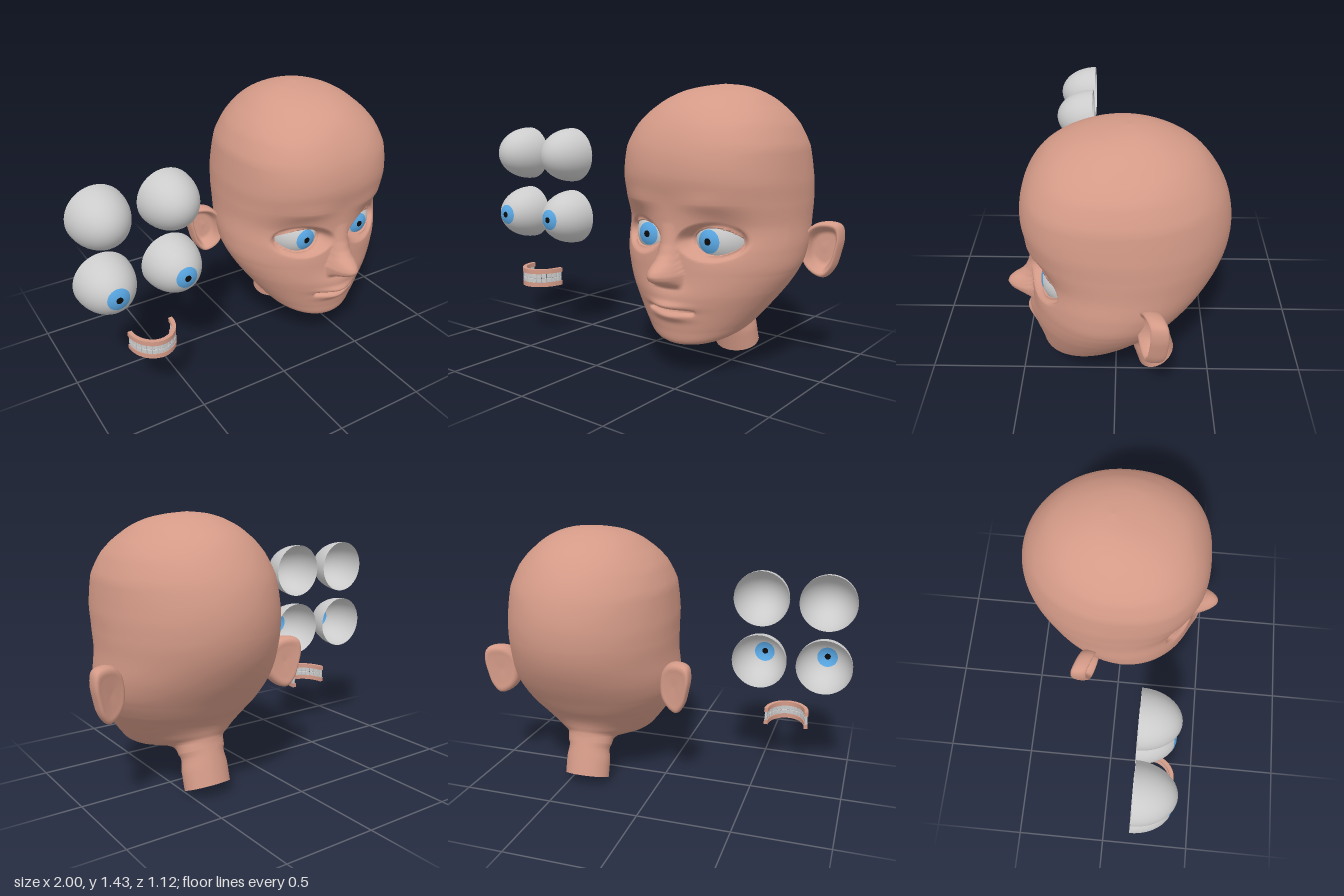
import * as THREE from 'three';
import { RoundedBoxGeometry } from 'three/addons/geometries/RoundedBoxGeometry.js';

const { smoothstep, lerp } = THREE.MathUtils;
const HEAD_X = 0.4;
const EYE = { x: 0.18, y: 0.7, z: 0.15, r: 0.152, depth: 0.21 };

const paint = (color, side = THREE.FrontSide) => new THREE.MeshStandardMaterial({ color, side });
const skin = paint(0xd49a87, THREE.DoubleSide);
const white = paint(0xcccccc, THREE.DoubleSide);
const blue = paint(0x5aa9e6, THREE.DoubleSide);
const black = paint(0x0a0a0a, THREE.DoubleSide);

function add(parent, name, geometry, material) {
  const mesh = new THREE.Mesh(geometry, material);
  mesh.name = name;
  parent.add(mesh);
  return mesh;
}

// Skin over a stack of closed rings with equal point counts
function loft(rings) {
  const n = rings[0].length, index = [];
  for (let i = 0; i < rings.length - 1; i++) {
    for (let j = 0; j < n; j++) {
      const a = i * n + j, c = i * n + (j + 1) % n;
      index.push(a, a + n, c, c, a + n, c + n);
    }
  }
  const geometry = new THREE.BufferGeometry().setFromPoints(rings.flat());
  geometry.setIndex(index);
  geometry.computeVertexNormals();
  return geometry;
}

// Linear lookup in a list of [position, value]
function lookup(keys, p) {
  if (p <= keys[0][0]) return keys[0][1];
  for (let i = 1; i < keys.length; i++) {
    const [p0, v0] = keys[i - 1], [p1, v1] = keys[i];
    if (p <= p1) return lerp(v0, v1, (p - p0) / (p1 - p0));
  }
  return keys[keys.length - 1][1];
}

const bump = (d, s) => Math.exp(-((d / s) ** 2));

// Head rings, crown to neck: front y, z, back y, z, half width, front squareness
const HEAD = [
  [1.44, -0.06, 1.44, -0.06, 0, 2],
  [1.425, 0.06, 1.43, -0.16, 0.11, 2],
  [1.395, 0.19, 1.395, -0.27, 0.21, 2],
  [1.33, 0.315, 1.33, -0.385, 0.305, 2.1],
  [1.24, 0.395, 1.24, -0.465, 0.39, 2.3],
  [1.13, 0.445, 1.13, -0.525, 0.44, 2.4],
  [1.0, 0.46, 1.0, -0.555, 0.455, 2.4],
  [0.88, 0.437, 0.88, -0.553, 0.46, 2.35],
  [0.77, 0.428, 0.77, -0.525, 0.462, 2.2],
  [0.65, 0.425, 0.65, -0.465, 0.47, 2.1],
  [0.54, 0.425, 0.54, -0.39, 0.452, 2],
  [0.44, 0.425, 0.47, -0.34, 0.41, 2],
  [0.34, 0.41, 0.43, -0.305, 0.362, 2],
  [0.25, 0.395, 0.395, -0.28, 0.312, 2],
  [0.185, 0.375, 0.37, -0.268, 0.268, 2],
  [0.165, 0.28, 0.345, -0.26, 0.22, 2],
  [0.185, 0.14, 0.325, -0.255, 0.168, 2],
  [0.21, 0.04, 0.31, -0.256, 0.142, 2],
  [0.215, -0.03, 0.295, -0.258, 0.13, 2],
  [0.185, -0.068, 0.27, -0.264, 0.125, 2],
  [0.1, -0.098, 0.18, -0.29, 0.125, 2],
  [0.01, -0.125, 0.09, -0.315, 0.125, 2],
];

const NOSE_HEIGHT = [[0.47, 0], [0.485, 0.03], [0.5, 0.085], [0.52, 0.125], [0.54, 0.135], [0.56, 0.128],
  [0.58, 0.105], [0.6, 0.072], [0.63, 0.042], [0.68, 0.02], [0.78, 0]];
const NOSE_WIDTH = [[0.48, 0.085], [0.54, 0.088], [0.6, 0.066], [0.68, 0.048], [0.78, 0.04]];

// Nose, lips, eye sockets and eyelids
function sculpt(p) {
  const side = Math.sign(p.x);
  let dx = Math.abs(p.x), y = p.y, z = p.z;
  if (z < 0.1) return p;

  // Brow and socket
  z -= 0.045 * bump(dx - 0.25, 0.13) * bump(y - 0.74, 0.1);
  z += 0.012 * bump(dx - 0.2, 0.12) * bump(y - 0.88, 0.04);

  // Nose
  const q = dx / lookup(NOSE_WIDTH, y);
  z += lookup(NOSE_HEIGHT, y) * Math.max(0, 1 - q * q) ** 0.75;

  // Lips and the line between them
  z += 0.025 * bump(dx, 0.13) * bump(y - 0.42, 0.06);
  z += 0.03 * bump(dx, 0.1) * bump(y - 0.382, 0.02);
  z += 0.026 * bump(dx, 0.09) * bump(y - 0.327, 0.022);
  z -= 0.04 * bump(y - 0.355, 0.009) * (1 - smoothstep(dx, 0.11, 0.14));

  // Eyelids follow the eyeball; the opening sinks behind it
  const cx = 0.205, u = (dx - cx) / 0.115, v = (y - EYE.y) / 0.067;
  const rho = (Math.abs(u) ** 1.8 + Math.abs(v) ** 1.8) ** (1 / 1.8);
  if (rho >= 0.85 && rho < 1) {
    dx = cx + (dx - cx) / rho;
    y = EYE.y + (y - EYE.y) / rho;
  }
  const d2 = ((dx - EYE.x) ** 2 + (y - EYE.y) ** 2) / EYE.r ** 2;
  const ball = EYE.z + EYE.depth * Math.sqrt(Math.max(0, 1 - d2));
  if (rho < 0.85) z = ball - 0.045;
  else if (rho < 1.4) {
    const lid = Math.max(0.24, ball) + 0.014;
    z = Math.max(lerp(lid, z, smoothstep(rho, 1, 1.4)), ball + 0.012);
  }
  return p.set(side * dx, y, z);
}

function headGeometry() {
  const curve = (f) => new THREE.CatmullRomCurve3(HEAD.map(f));
  const front = curve((k) => new THREE.Vector3(0, k[0], k[1]));
  const back = curve((k) => new THREE.Vector3(0, k[2], k[3]));
  const form = curve((k) => new THREE.Vector3(k[4], k[5], 0));
  const spans = HEAD.length - 1, columns = 200, rings = [];
  for (let s = 0; s < spans; s++) {
    const steps = s >= 7 && s < 14 ? 14 : 5; // finer over the face
    for (let i = 0; i < steps + (s === spans - 1 ? 1 : 0); i++) {
      const t = Math.min(1, (s + i / steps) / spans);
      const f = front.getPoint(t), b = back.getPoint(t), shape = form.getPoint(t);
      const centre = b.clone().lerp(f, 0.52), ring = [];
      for (let j = 0; j < columns; j++) {
        const w = (j / columns) * Math.PI * 2;
        const a = w - 0.45 * Math.sin(w); // columns crowd towards the nose
        const c = Math.cos(a), si = Math.sin(a), n = c > 0 ? shape.y : 2;
        const r = (Math.abs(c) ** n + Math.abs(si) ** n) ** (-1 / n);
        const p = centre.clone().lerp(c > 0 ? f : b, Math.abs(c) * r);
        p.x = Math.max(0, shape.x) * si * r;
        ring.push(sculpt(p));
      }
      rings.push(ring);
    }
  }
  return loft(rings);
}

// Ear: outline scaled through a back, rim and hollow profile
function earGeometry(side) {
  const outline = new THREE.CatmullRomCurve3([
    [0.43, 0.69], [0.475, 0.75], [0.54, 0.765], [0.588, 0.75], [0.601, 0.69],
    [0.588, 0.61], [0.565, 0.53], [0.525, 0.483], [0.475, 0.5], [0.43, 0.56],
  ].map(([x, y]) => new THREE.Vector3(x, y, 0)), true).getPoints(48).slice(0, -1);
  const profile = new THREE.CatmullRomCurve3([
    [0, -0.035], [0.6, -0.04], [0.88, -0.04], [0.98, -0.022], [1, 0.005], [0.95, 0.036],
    [0.84, 0.042], [0.73, 0.022], [0.62, -0.012], [0.35, -0.02], [0, -0.018],
  ].map(([s, d]) => new THREE.Vector3(s, d, 0))).getPoints(40);
  const rings = profile.map(({ x: s, y: d }) => {
    const ring = outline.map((o) => {
      const x = 0.51 + (o.x - 0.51) * s, y = 0.63 + (o.y - 0.63) * s;
      return new THREE.Vector3(side * x, y, -0.16 - 0.35 * (x - 0.46) + d);
    });
    return side < 0 ? ring.reverse() : ring;
  });
  return loft(rings);
}

// Open-backed eye shell, with or without an iris
function addEye(parent, name, x, y, withIris) {
  const eye = new THREE.Group();
  eye.name = name;
  eye.position.set(x, y, EYE.z);
  const zone = (part, from, to, rows, material) => add(eye, part,
    new THREE.SphereGeometry(1, 48, rows, 0, Math.PI * 2, from, to - from)
      .rotateX(Math.PI / 2).scale(EYE.r, EYE.r, EYE.depth), material);
  if (withIris) {
    zone('pupil', 0, 0.112, 2, black);
    zone('iris', 0.112, 0.384, 5, blue);
  }
  zone('eyeWhite', withIris ? 0.384 : 0, Math.PI / 2, 18, white);
  parent.add(eye);
}

// Horseshoe gums with two rows of teeth
function addDenture(parent) {
  const denture = new THREE.Group();
  denture.name = 'denture';
  denture.position.set(-0.65, 0, 0.22);
  const arch = new THREE.Shape();
  arch.absellipse(0, 0, 0.125, 0.155, 0, Math.PI, false);
  arch.absellipse(0, 0, 0.103, 0.133, Math.PI, 0, true);
  for (const [name, top] of [['upperGum', 0.402], ['lowerGum', 0.326]]) {
    const gum = new THREE.ExtrudeGeometry(arch, { depth: 0.025, bevelEnabled: false, curveSegments: 32 });
    add(denture, name, gum.rotateX(Math.PI / 2), skin).position.y = top;
  }
  const tooth = new RoundedBoxGeometry(0.028, 0.028, 0.014, 2, 0.004);
  const count = 14;
  for (const [name, y] of [['upperTooth', 0.365], ['lowerTooth', 0.338]]) {
    for (let i = 0; i < count; i++) {
      const a = ((i + 0.5) / count) * Math.PI;
      const mesh = add(denture, name, tooth, white);
      mesh.position.set(0.115 * Math.cos(a), y, 0.145 * Math.sin(a));
      mesh.rotation.y = Math.atan2(Math.cos(a) / 0.115, Math.sin(a) / 0.145);
    }
  }
  parent.add(denture);
}

export function createModel() {
  const model = new THREE.Group();
  const head = new THREE.Group();
  head.name = 'headGroup';
  head.position.x = HEAD_X;
  model.add(head);

  add(head, 'head', headGeometry(), skin);
  const neckEnd = add(head, 'neckEnd', new THREE.CircleGeometry(1, 48).scale(0.125, 0.103, 1), skin);
  neckEnd.position.set(0, 0.05, -0.22);
  neckEnd.rotation.x = 1.968;
  for (const side of [1, -1]) {
    const word = side > 0 ? 'left' : 'right';
    add(head, word + 'Ear', earGeometry(side), skin);
    addEye(head, word + 'Eye', side * EYE.x, EYE.y, true);
  }

  // Spare parts beside the head
  for (const x of [-0.848, -0.492]) {
    addEye(model, 'spareEye', x, 0.7, true);
    addEye(model, 'spareEyeShell', x, 1.055, false);
  }
  addDenture(model);
  return model;
}
